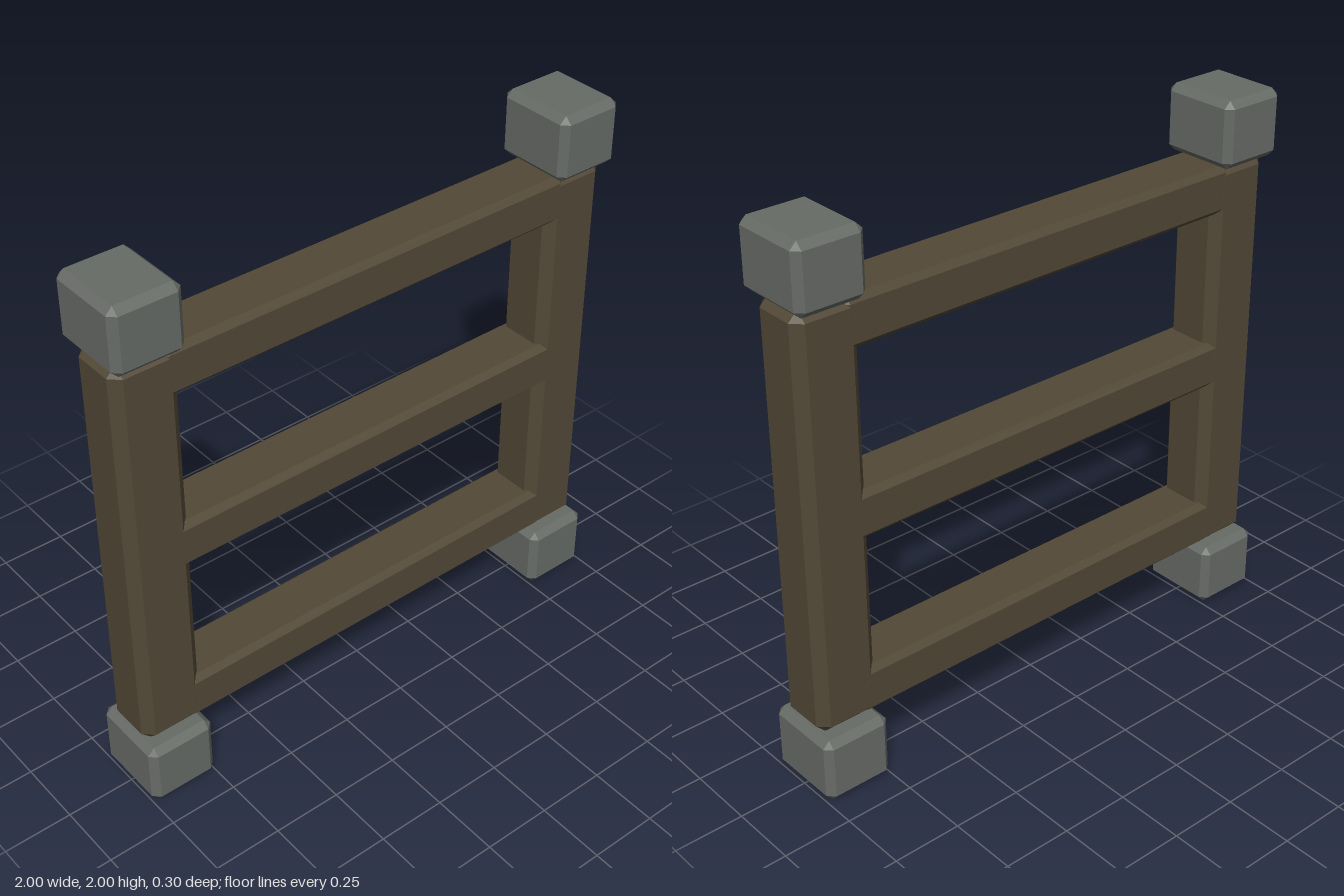
import * as THREE from 'three';
import { ConvexGeometry } from 'three/addons/geometries/ConvexGeometry.js';

const wood = new THREE.MeshStandardMaterial({ color: 0x524836 });
wood.name = 'dark wood';
const stone = new THREE.MeshStandardMaterial({ color: 0x676b66 });
stone.name = 'grey metal';

// Box with every edge cut by a flat chamfer c
function chamferBox(w, h, d, c) {
  const half = [w / 2, h / 2, d / 2];
  const points = [];
  for (const sx of [-1, 1]) for (const sy of [-1, 1]) for (const sz of [-1, 1]) {
    for (let axis = 0; axis < 3; axis++) {
      const p = half.map((v, i) => (i === axis ? v : v - c));
      points.push(new THREE.Vector3(sx * p[0], sy * p[1], sz * p[2]));
    }
  }
  return new ConvexGeometry(points);
}

export function createModel() {
  const group = new THREE.Group();
  group.name = 'fence panel';

  function add(name, geometry, material, x, y) {
    const mesh = new THREE.Mesh(geometry, material);
    mesh.name = name;
    mesh.position.set(x, y, 0);
    group.add(mesh);
  }

  const postGeometry = chamferBox(0.236, 1.524, 0.214, 0.035);
  const capGeometry = chamferBox(0.254, 0.241, 0.3, 0.025);
  const railGeometry = chamferBox(1.62, 0.174, 0.213, 0.021);

  // Upright posts with a block at each end
  for (const [side, s] of [['left', 1], ['right', -1]]) {
    add(side + 'Post', postGeometry, wood, s * 0.868, 1);
    add(side + 'TopBlock', capGeometry, stone, s * 0.873, 1.8795);
    add(side + 'Foot', capGeometry, stone, s * 0.873, 0.1205);
  }

  // Horizontal rails, their ends buried in the posts
  add('bottomRail', railGeometry, wood, 0, 0.336);
  add('middleRail', railGeometry, wood, 0, 1.003);
  add('topRail', railGeometry, wood, 0, 1.671);

  return group;
}
